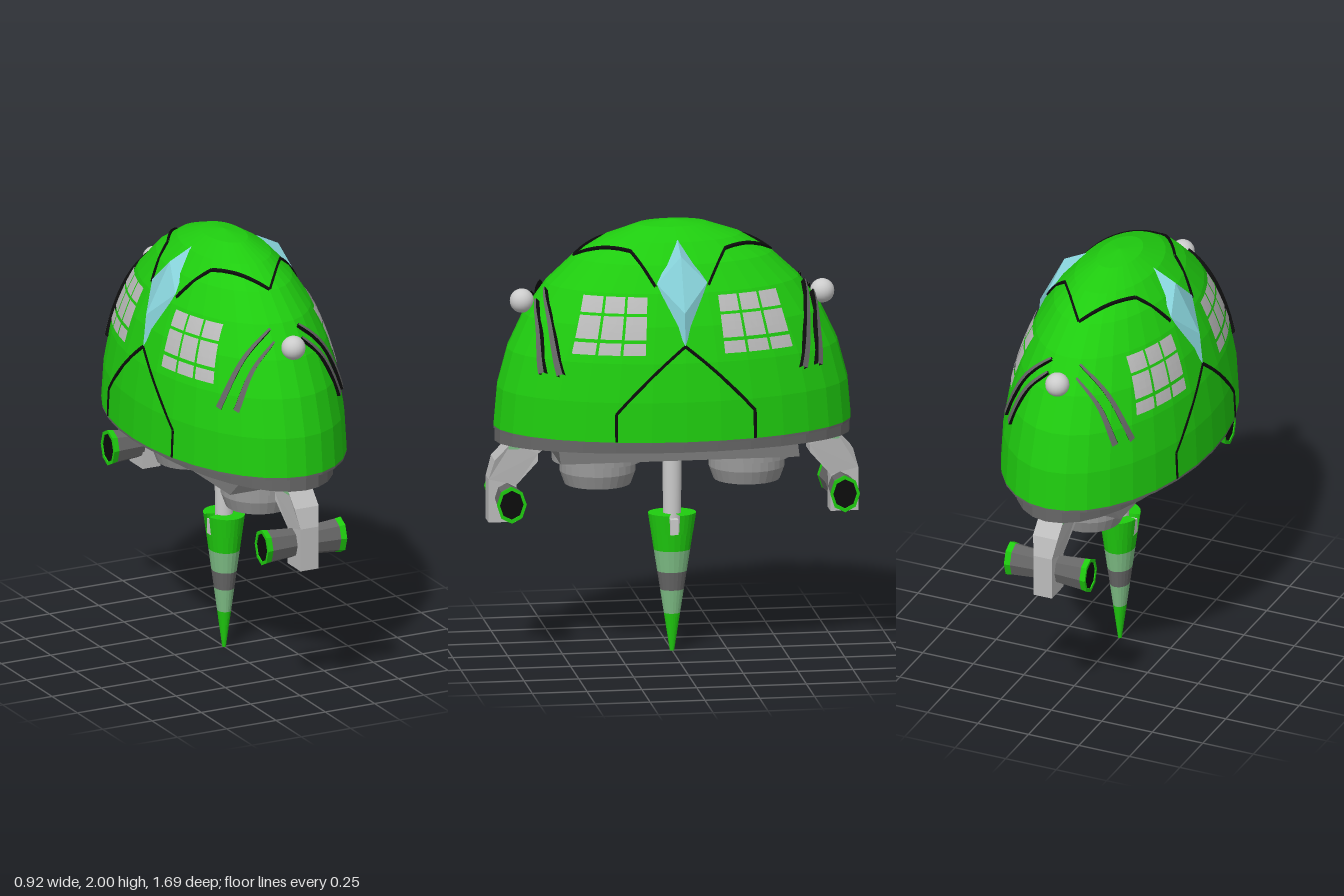
import * as THREE from 'three';

const mat = (color, extra = {}) => new THREE.MeshStandardMaterial({ color, flatShading: true, ...extra });
const thin = { side: THREE.DoubleSide };
const GREEN = mat(0x1fcc0f, thin), PALE = mat(0x7fbf86), DARK = mat(0x666666, thin), MID = mat(0x999999, thin);
const LIGHT = mat(0xbbbbbb, thin), BLACK = mat(0x0c0c0c, thin), CYAN = mat(0x86d0d8, thin);
const SMOOTH = new THREE.MeshStandardMaterial({ color: 0xcccccc });

// Dome: half ellipsoid standing on y = Y0
const RX = 0.462, RY = 0.93, RZ = 0.815, Y0 = 1.07;
const V = (x, y, z) => new THREE.Vector3(x, y, z);
const onDome = (p, lift = 1) => {
  const q = V(p.x / RX, (p.y - Y0) / RY, p.z / RZ).normalize().multiplyScalar(lift);
  return V(q.x * RX, q.y * RY + Y0, q.z * RZ);
};
const rest = (a, b) => Math.sqrt(Math.max(0, 1 - a * a - b * b));
const fromSide = (z, y) => V(RX * rest(z / RZ, (y - Y0) / RY), y, z);
const fromFront = (x, y) => V(x, y, RZ * rest(x / RX, (y - Y0) / RY));
const fromTop = (x, z) => V(x, Y0 + RY * rest(x / RX, z / RZ), z);

function add(parent, name, geometry, material, x = 0, y = 0, z = 0) {
  const m = new THREE.Mesh(geometry, material);
  m.name = name;
  m.position.set(x, y, z);
  parent.add(m);
  return m;
}

// Surface through fn(u, v) -> point
function sheet(fn, nu, nv) {
  const pos = [], idx = [];
  for (let i = 0; i <= nu; i++) for (let j = 0; j <= nv; j++) pos.push(...fn(i / nu, j / nv).toArray());
  for (let i = 0; i < nu; i++) for (let j = 0; j < nv; j++) {
    const a = i * (nv + 1) + j, b = a + nv + 1;
    idx.push(a, b, a + 1, b, b + 1, a + 1);
  }
  const g = new THREE.BufferGeometry();
  g.setAttribute('position', new THREE.Float32BufferAttribute(pos, 3));
  g.setIndex(idx);
  g.computeVertexNormals();
  return g;
}

// Raised strip following a curve over the dome, with black edges
function strip(parent, name, curve, width, lift, material, n = 16) {
  const edge = (u, s, l) => {
    const p = onDome(curve.getPoint(u));
    const t = onDome(curve.getPoint(Math.min(1, u + 0.01))).sub(onDome(curve.getPoint(Math.max(0, u - 0.01))));
    const normal = V(p.x / RX ** 2, (p.y - Y0) / RY ** 2, p.z / RZ ** 2);
    const across = normal.cross(t).normalize().multiplyScalar(s * width(u));
    return onDome(p.add(across), l);
  };
  add(parent, name, sheet((u, v) => edge(u, v - 0.5, lift), n, 1), material);
  for (const s of [-0.5, 0.5])
    add(parent, name + 'Edge', sheet((u, v) => edge(u, s, 0.99 + v * (lift - 0.99)), n, 1), BLACK);
}

function panelLine(parent, points) {
  for (let i = 0; i + 1 < points.length; i++)
    strip(parent, 'panelLine', new THREE.LineCurve3(points[i], points[i + 1]), () => 0.011, 1.007, BLACK, 10);
}

function windowGrid(parent, s) {
  const cols = [[0, 0.31], [0.35, 0.65], [0.69, 1]], rows = [[1.71, 1.64], [1.628, 1.528], [1.513, 1.46]];
  for (const [c0, c1] of cols) for (const [y0, y1] of rows)
    add(parent, 'windowPane', sheet((u, v) => {
      const y = y0 + (y1 - y0) * v, k = (1.71 - y) / 0.25, c = c0 + (c1 - c0) * u;
      const z = (0.435 + 0.065 * k) * (1 - c) + (0.16 + 0.02 * k) * c;
      return onDome(fromSide(s * z, y), 1.008);
    }, 3, 3), LIGHT);
}

function crystal(parent) {
  const spine = [V(0.165, 1.94, 0), V(0.275, 1.885, 0), V(0.395, 1.65, 0), V(0.41, 1.5, 0)];
  for (const s of [-1, 1])
    add(parent, 'sideCrystal', sheet((u, v) => v ? spine[Math.round(u * 3)].clone() : V(0.305, 1.77, s * 0.115), 3, 1), CYAN);
}

function bracket(parent) {
  const outline = [[0.55, 1], [0.74, 1], [0.817, 0.92], [0.843, 0.83], [0.843, 0.63], [0.716, 0.63], [0.716, 0.8], [0.62, 0.91], [0.62, 0.945]];
  const shape = new THREE.Shape(outline.map(([z, y]) => new THREE.Vector2(-z, y)));
  const g = new THREE.ExtrudeGeometry(shape, { depth: 0.09, bevelEnabled: false });
  g.translate(0, 0, -0.045).rotateY(Math.PI / 2);
  const p = g.attributes.position;
  for (let i = 0; i < p.count; i++) if (p.getY(i) > 0.9) p.setX(i, p.getX(i) * 1.35);
  g.computeVertexNormals();
  add(parent, 'legBracket', g, LIGHT);
  add(parent, 'bracketCap', new THREE.BoxGeometry(0.12, 0.03, 0.06), PALE, 0, 0.984, 0.725);
}

function barrel(parent, s) {
  const gun = new THREE.Group();
  gun.name = 'sideBarrel';
  gun.position.set(0, 0.743, 0.76);
  gun.rotation.z = -s * Math.PI / 2;
  gun.scale.z = 0.8;
  add(gun, 'barrelBody', new THREE.CylinderGeometry(0.08, 0.068, 0.14, 8), DARK, 0, 0.105);
  const rim = [[0.08, 0.172], [0.085, 0.2], [0.068, 0.2], [0.064, 0.178]].map(([r, y]) => new THREE.Vector2(r, y));
  add(gun, 'barrelRim', new THREE.LatheGeometry(rim, 8), GREEN);
  add(gun, 'barrelBore', new THREE.CylinderGeometry(0.069, 0.069, 0.02, 8), BLACK, 0, 0.185);
  parent.add(gun);
}

// Everything that repeats on the opposite side and end
function half(name) {
  const g = new THREE.Group();
  g.name = name;
  crystal(g);
  panelLine(g, [[0.315, 1.072], [0.315, 1.2], [0, 1.5], [-0.315, 1.2], [-0.315, 1.072]].map(([z, y]) => fromSide(z, y)));
  for (const s of [-1, 1]) {
    windowGrid(g, s);
    panelLine(g, [[0, 0.45], [0.1, 0.325], [0.175, 0.215], [0.305, 0.12]].map(([x, z]) => fromTop(s * x, z)));
    for (const pts of [[[0.07, 1.705], [0.2, 1.585], [0.31, 1.36]], [[0.07, 1.655], [0.18, 1.54], [0.26, 1.36]]])
      strip(g, 'browStripe', new THREE.CatmullRomCurve3(pts.map(([x, y]) => fromFront(s * x, y))), u => 0.01 + 0.02 * u, 1.022, DARK);
    barrel(g, s);
  }
  add(g, 'lamp', new THREE.SphereGeometry(0.055, 20, 14), SMOOTH, 0, 1.643, 0.685);
  bracket(g);
  // Round thruster with hollow outlet
  const nozzle = [[0.207, 0.935], [0.207, 0.9], [0.172, 0.893], [0.172, 0.85], [0.15, 0.79], [0.125, 0.79], [0.11, 0.82], [0, 0.83]];
  add(g, 'thruster', new THREE.LatheGeometry(nozzle.map(([r, y]) => new THREE.Vector2(r, y)), 28), MID, 0, 0, 0.34);
  return g;
}

function drill() {
  const g = new THREE.Group();
  g.name = 'drill';
  add(g, 'drillRod', new THREE.CylinderGeometry(0.045, 0.04, 0.48, 20), SMOOTH, 0, 0.77);
  const cone = new THREE.Group();
  cone.name = 'drillCone';
  cone.scale.x = 0.82;
  const r = y => 0.01 + 0.1 * y / 0.64;
  const bands = [[0, 0.175, GREEN], [0.175, 0.285, PALE], [0.285, 0.37, DARK], [0.37, 0.47, PALE], [0.47, 0.55, GREEN]];
  for (const [a, b, m] of bands)
    add(cone, 'drillBand', new THREE.CylinderGeometry(r(b), r(a), b - a, 20), m, 0, (a + b) / 2);
  // Split collar: two halves with a slot at each side
  for (const start of [-1, 1]) {
    const gap = 0.22, t0 = start * Math.PI / 2 + gap;
    add(cone, 'drillCollar', new THREE.CylinderGeometry(r(0.64), r(0.55), 0.09, 12, 1, false, t0, Math.PI - 2 * gap), GREEN, 0, 0.595);
    add(cone, 'slotPin', new THREE.BoxGeometry(0.07, 0.07, 0.036), SMOOTH, start * 0.06, 0.585);
  }
  g.add(cone);
  return g;
}

export function createModel() {
  const model = new THREE.Group();
  model.name = 'drillPod';

  const dome = add(model, 'domeShell', new THREE.SphereGeometry(1, 32, 8, 0, Math.PI * 2, 0, Math.PI / 2), GREEN, 0, Y0);
  dome.scale.set(RX, RY, RZ);
  const under = add(model, 'domeUnderside', new THREE.CylinderGeometry(1, 1, 0.012, 32), DARK, 0, Y0 - 0.006);
  under.scale.set(RX - 0.002, 1, RZ - 0.002);
  const base = add(model, 'baseRim', new THREE.CylinderGeometry(1, 1, 0.065, 32), DARK, 0, 1.0325);
  base.scale.set(0.37, 1, 0.81);

  // Keel plate, wider at its lower face
  const keel = new THREE.BoxGeometry(0.36, 0.065, 1.09);
  const p = keel.attributes.position;
  for (let i = 0; i < p.count; i++) if (p.getY(i) < 0) p.setX(i, Math.sign(p.getX(i)) * 0.25);
  keel.computeVertexNormals();
  add(model, 'keelPlate', keel, DARK, 0, 0.968);

  model.add(drill());
  const front = half('frontLeftHalf'), back = half('backRightHalf');
  back.rotation.y = Math.PI;
  model.add(front, back);
  return model;
}
